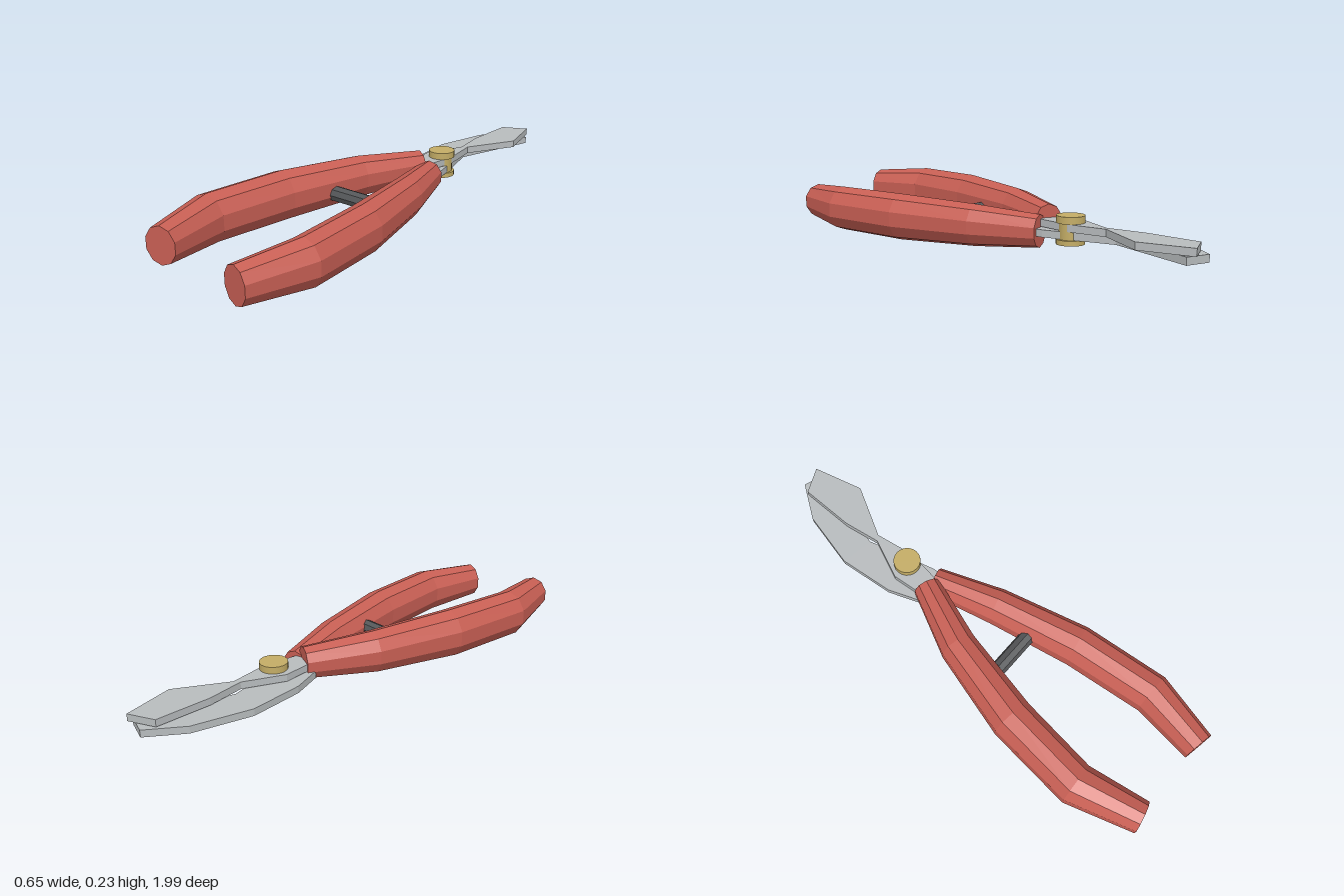
import * as THREE from 'three';

const SIDES = 10;

// Ten-sided grip lofted along [x, z, vertical radius] stations, faceted
function gripGeometry(stations, y) {
  const rings = stations.map(([x, z, r], i) => {
    const a = stations[Math.max(i - 1, 0)];
    const b = stations[Math.min(i + 1, stations.length - 1)];
    const t = new THREE.Vector2(b[0] - a[0], b[1] - a[1]).normalize();
    const ring = [];
    for (let k = 0; k < SIDES; k++) {
      const q = (k / SIDES) * Math.PI * 2;
      const w = Math.sin(q) * r * 0.88;
      ring.push(new THREE.Vector3(x + t.y * w, y + Math.cos(q) * r, z - t.x * w));
    }
    return ring;
  });
  const pts = [];
  const last = rings.length - 1;
  for (let k = 0; k < SIDES; k++) {
    const n = (k + 1) % SIDES;
    for (let i = 0; i < last; i++) {
      const [a, b, c, d] = [rings[i][k], rings[i][n], rings[i + 1][n], rings[i + 1][k]];
      pts.push(a, d, b, b, d, c);
    }
    if (k > 0 && k < SIDES - 1) {
      pts.push(rings[0][0], rings[0][k], rings[0][n]);
      pts.push(rings[last][0], rings[last][n], rings[last][k]);
    }
  }
  // Station order runs front to back, so flip each triangle outwards
  for (let i = 0; i < pts.length; i += 3) [pts[i + 1], pts[i + 2]] = [pts[i + 2], pts[i + 1]];
  const centre = new THREE.Vector3(stations[0][0], y, stations[0][1]);
  const g = new THREE.BufferGeometry().setFromPoints(pts);
  // Check the first side face against the ring centre
  const nrm = new THREE.Vector3().crossVectors(pts[1].clone().sub(pts[0]), pts[2].clone().sub(pts[0]));
  if (nrm.dot(pts[0].clone().sub(centre)) < 0) {
    for (let i = 0; i < pts.length; i += 3) [pts[i + 1], pts[i + 2]] = [pts[i + 2], pts[i + 1]];
    g.setFromPoints(pts);
  }
  g.computeVertexNormals();
  return g;
}

// Flat plate from an [x, z] outline
function plateGeometry(outline, y, depth) {
  const shape = new THREE.Shape(outline.map(([x, z]) => new THREE.Vector2(x, -z)));
  const g = new THREE.ExtrudeGeometry(shape, { depth, bevelEnabled: false });
  g.rotateX(-Math.PI / 2);
  g.translate(0, y, 0);
  return g;
}

export function createModel() {
  const group = new THREE.Group();
  const material = (name, color) => {
    const m = new THREE.MeshStandardMaterial({ color });
    m.name = name;
    return m;
  };
  const red = material('red grip', 0xc85f54);
  const steel = material('steel', 0xb8bcbe);
  const brass = material('brass', 0xc4ad66);
  const dark = material('dark spring', 0x555759);

  const add = (name, geometry, mat) => {
    const mesh = new THREE.Mesh(geometry, mat);
    mesh.name = name;
    group.add(mesh);
    return mesh;
  };

  // Handles
  add('rightHandle', gripGeometry([
    [-0.18, 0.98, 0.075], [-0.246, 0.71, 0.099], [-0.21, 0.36, 0.102],
    [-0.122, 0, 0.088], [-0.01, -0.27, 0.066],
  ], 0.135), red);
  add('leftHandle', gripGeometry([
    [0.193, 0.98, 0.075], [0.244, 0.71, 0.096], [0.208, 0.36, 0.098],
    [0.126, 0, 0.086], [0.042, -0.27, 0.066],
  ], 0.1), red);

  // Upper cutting blade with a narrow neck
  add('upperBlade', plateGeometry([
    [0.085, -1], [0.14, -0.79], [0.028, -0.58], [0.055, -0.42], [0.03, -0.2],
    [-0.05, -0.24], [-0.065, -0.4], [0.005, -0.565], [-0.02, -0.72], [-0.02, -0.95],
  ], 0.118, 0.029), steel);

  // Lower curved blade
  add('lowerBlade', plateGeometry([
    [0.005, -1], [-0.09, -0.86], [-0.145, -0.62], [-0.12, -0.39], [-0.07, -0.26],
    [0.02, -0.2], [0.08, -0.25], [0.075, -0.31], [0.045, -0.42], [-0.008, -0.6], [0.1, -0.97],
  ], 0.086, 0.029), steel);

  // Pivot bolt: shaft and two heads
  for (const [name, r, y0, y1] of [
    ['pivotShaft', 0.046, 0.07, 0.17],
    ['pivotTopHead', 0.056, 0.148, 0.176],
    ['pivotBottomHead', 0.056, 0.065, 0.085],
  ]) {
    add(name, new THREE.CylinderGeometry(r, r, y1 - y0, 20), brass)
      .position.set(0.013, (y0 + y1) / 2, -0.4);
  }

  // Spring bar between the handles
  const spring = new THREE.CylinderGeometry(0.032, 0.032, 0.28, 8).toNonIndexed();
  spring.computeVertexNormals();
  spring.rotateZ(Math.PI / 2);
  add('springBar', spring, dark).position.set(0.005, 0.116, 0.18);

  return group;
}
